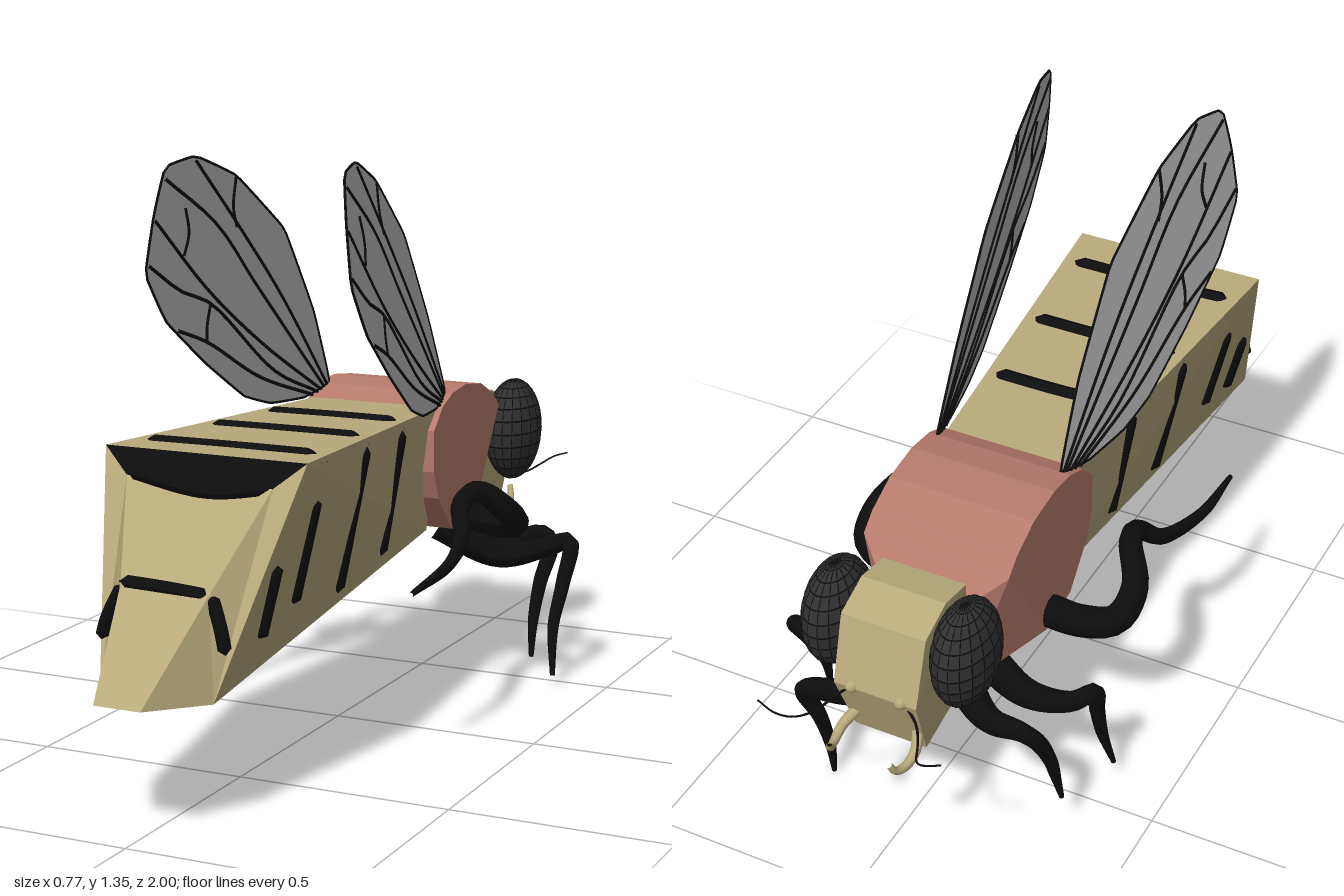
import * as THREE from 'three';
import { ConvexGeometry } from 'three/addons/geometries/ConvexGeometry.js';

const V = (x, y, z) => new THREE.Vector3(x, y, z);
const mat = (color, extra = {}) => new THREE.MeshStandardMaterial({ color, ...extra });
const lerp = THREE.MathUtils.lerp;
const CX = -0.015; // body axis

export function createModel() {
  const model = new THREE.Group();
  model.name = 'flyingInsect';
  const tan = mat(0xb8aa7c, { flatShading: true });
  const tanSmooth = mat(0xb8aa7c);
  const red = mat(0xb57a6c, { flatShading: true });
  const black = mat(0x0d0d0d);
  const eyeGrey = mat(0x303030, { flatShading: true });
  const wingGrey = mat(0xb8b8b8, { side: THREE.DoubleSide });

  const body = new THREE.Group();
  body.name = 'body';
  body.position.x = CX;
  model.add(body);

  const add = (parent, name, geo, material) => {
    const mesh = new THREE.Mesh(geo, material);
    mesh.name = name;
    parent.add(mesh);
    return mesh;
  };

  // Tube whose radius runs through the given list of radii
  const taperTube = (points, radii, seg = 32, sides = 10) => {
    const curve = new THREE.CatmullRomCurve3(points);
    const geo = new THREE.TubeGeometry(curve, seg, 1, sides);
    const pos = geo.attributes.position;
    const p = V(0, 0, 0);
    for (let i = 0; i <= seg; i++) {
      const t = (i / seg) * (radii.length - 1);
      const k = Math.min(Math.floor(t), radii.length - 2);
      const r = lerp(radii[k], radii[k + 1], t - k);
      const c = curve.getPointAt(i / seg);
      for (let j = 0; j <= sides; j++) {
        const n = i * (sides + 1) + j;
        p.fromBufferAttribute(pos, n).sub(c).multiplyScalar(r).add(c);
        pos.setXYZ(n, p.x, p.y, p.z);
      }
    }
    geo.computeVertexNormals();
    return geo;
  };

  // Convex solid mirrored in x
  const mirroredHull = (half) =>
    new ConvexGeometry(half.flatMap(([x, y, z]) => [V(x, y, z), V(-x, y, z)]));

  // Faces spanning from +x to -x along a chain of points, plus mirrored side triangles
  const mirroredSkin = (chain, sideTris) => {
    const flip = ([x, y, z]) => [-x, y, z];
    const out = [];
    for (let i = 0; i < chain.length - 1; i++) {
      const [p, q] = [chain[i], chain[i + 1]];
      out.push(p, flip(p), flip(q), p, flip(q), q);
    }
    for (const [a, b, c] of sideTris) out.push(a, b, c, flip(a), flip(c), flip(b));
    const geo = new THREE.BufferGeometry();
    geo.setAttribute('position', new THREE.Float32BufferAttribute(out.flat(), 3));
    geo.computeVertexNormals();
    return geo;
  };

  // Abdomen: widening box, its slanted end slightly dished between two chamfers
  const rootTop = [0.16, 0.728, -0.28], rootLow = [0.12, 0.415, -0.28];
  const rim = [0.242, 0.755, 0.62], lip = [0.175, 0.7, 0.648], dish = [0.105, 0.5, 0.8];
  const tip = [0.055, 0.3, 1.0], heel = [0.135, 0.283, 0.84];
  add(body, 'abdomen', mirroredSkin([lip, dish, tip, heel, rootLow, rootTop, rim], [
    [rootLow, rootTop, rim], [rootLow, rim, heel],
    [heel, rim, lip], [heel, lip, dish], [heel, dish, tip],
  ]), tan);
  add(body, 'endBand', mirroredSkin([rim, lip], []), black);

  // Thorax: rounded back, flat sides and a chamfered neck
  add(body, 'thorax', mirroredHull([
    ...[[-0.19, 0.58], [-0.19, 0.68], [-0.24, 0.73], [-0.3, 0.755], [-0.38, 0.765], [-0.48, 0.752],
      [-0.56, 0.715], [-0.6, 0.68], [-0.42, 0.4], [-0.3, 0.42], [-0.22, 0.51]].map(([z, y]) => [0.178, y, z]),
    [0.105, 0.62, -0.66], [0.095, 0.385, -0.65],
  ]), red);

  // Head: bowed crown and a face sloping back to the chin
  add(body, 'head', mirroredHull([
    [0.102, 0.675, -0.65], [0.102, 0.69, -0.74], [0.102, 0.655, -0.83], [0.1, 0.5, -0.878],
    [0.088, 0.34, -0.82], [0.088, 0.38, -0.66],
  ]), tan);

  // Stripes around the abdomen
  const hw = (z, f) => lerp(lerp(0.122, 0.135, (z + 0.28) / 1.12), lerp(0.16, 0.242, (z + 0.28) / 0.9), f);
  const topY = (z) => lerp(0.728, 0.755, (z + 0.28) / 0.9);
  const botY = (z) => lerp(0.415, 0.283, (z + 0.28) / 1.12);
  const stripe = (name, pts, r = 0.026) =>
    add(body, name, taperTube(pts, [0, r, r, r, r, r, r, r, r, r, 0], 20, 8), black);
  for (const z of [0, 0.24, 0.5]) {
    const w = hw(z, 1), y = topY(z) - 0.015;
    stripe('topStripe', [V(-w, y, z + 0.01), V(0, y, z), V(w, y, z)]);
  }
  for (const [z, y0, y1] of [[0.01, 0.4, 0.735], [0.25, 0.365, 0.745], [0.51, 0.41, 0.67], [0.66, 0.375, 0.55]]) {
    for (const s of [-1, 1]) {
      const at = (y) => V(s * (hw(z, (y - botY(z)) / (topY(z) - botY(z))) - 0.012), y, z);
      stripe('sideStripe', [at(y0), at((y0 + y1) / 2), at(y1)]);
    }
  }
  for (const z of [0, 0.25, 0.5, 0.66, 0.83]) {
    const y = botY(z) + 0.014;
    stripe('bellyStripe', [V(-0.1, y, z), V(0, y, z), V(0.1, y, z)], 0.022);
  }
  // Stripes on the slanted end
  stripe('upperEndStripe', [V(-0.19, 0.71, 0.635), V(0.03, 0.682, 0.655), V(0.18, 0.7, 0.64)], 0.02);
  stripe('lowerEndStripe', [V(-0.115, 0.505, 0.79), V(0, 0.502, 0.792), V(0.11, 0.495, 0.792)], 0.016);
  for (const s of [-1, 1]) {
    stripe('endSideStripe', [V(s * 0.105, 0.5, 0.79), V(s * 0.135, 0.43, 0.805), V(s * 0.148, 0.38, 0.81)], 0.015);
  }

  // Wing outline and veins as (z, y)
  const outline = [[-0.305, 0.76], [-0.21, 0.947], [-0.06, 1.16], [0.14, 1.3], [0.29, 1.353], [0.39, 1.335],
    [0.415, 1.23], [0.425, 1.1], [0.34, 0.984], [0.187, 0.87], [0.03, 0.77], [-0.075, 0.738], [-0.21, 0.733]];
  const veins = [
    [[-0.3, 0.75], [-0.075, 1.0], [0.1, 1.17], [0.29, 1.345]],
    [[-0.29, 0.745], [0.03, 1.04], [0.19, 1.19], [0.39, 1.31]],
    [[-0.28, 0.74], [-0.02, 0.89], [0.2, 1.04], [0.412, 1.22]],
    [[-0.26, 0.74], [-0.08, 0.815], [0.19, 1.01], [0.3, 1.05], [0.42, 1.12]],
    [[-0.24, 0.735], [-0.02, 0.81], [0.19, 0.92], [0.3, 0.96]],
    [[0.19, 1.01], [0.195, 0.96], [0.19, 0.92]],
    [[0.12, 1.18], [0.14, 1.23], [0.14, 1.3]],
    [[0.3, 1.13], [0.29, 1.18], [0.31, 1.24]],
  ];
  const wingX = (z, y) => 0.155 + 0.183 * (z + 0.305) - 0.114 * (y - 0.76);

  for (const s of [-1, 1]) {
    const side = s > 0 ? 'left' : 'right';

    // Wing blade, leaning outward towards its trailing edge
    const wing = new THREE.Group();
    wing.name = side + 'Wing';
    body.add(wing);
    const blade = new THREE.ShapeGeometry(new THREE.Shape(outline.map(([z, y]) => new THREE.Vector2(z, y))));
    const pos = blade.attributes.position;
    for (let i = 0; i < pos.count; i++) {
      const z = pos.getX(i), y = pos.getY(i);
      pos.setXYZ(i, s * wingX(z, y), y, z);
    }
    blade.computeVertexNormals();
    add(wing, 'wingBlade', blade, wingGrey);
    const onWing = ([z, y]) => V(s * wingX(z, y), y, z);
    const edge = new THREE.CatmullRomCurve3(outline.map(onWing), true, 'catmullrom', 0.1);
    add(wing, 'wingRim', new THREE.TubeGeometry(edge, 78, 0.003, 5, true), black);
    for (const v of veins) {
      add(wing, 'wingVein', new THREE.TubeGeometry(new THREE.CatmullRomCurve3(v.map(onWing)), 16, 0.0045, 5), black);
    }

    // Compound eye: faceted ellipsoid with a raised grid
    const eye = new THREE.Group();
    eye.name = side + 'Eye';
    eye.position.set(s * 0.157, 0.59, -0.755);
    eye.scale.set(0.067, 0.13, 0.109);
    body.add(eye);
    add(eye, 'eyeBall', new THREE.SphereGeometry(1, 18, 12), eyeGrey);
    for (let i = 0; i < 9; i++) {
      add(eye, 'eyeMeridian', new THREE.TorusGeometry(0.99, 0.018, 4, 36), black).rotation.y = (i * Math.PI) / 9;
    }
    for (let i = 1; i < 12; i++) {
      const a = (i * Math.PI) / 12;
      const ring = add(eye, 'eyeParallel', new THREE.TorusGeometry(0.99 * Math.sin(a), 0.018, 4, 36), black);
      ring.rotation.x = Math.PI / 2;
      ring.position.y = 0.99 * Math.cos(a);
    }

    // Feeler with a round base, and the curved mouthpart below it
    add(body, 'feelerBase', new THREE.SphereGeometry(0.015, 12, 8), tanSmooth).position.set(s * 0.06, 0.5, -0.872);
    add(body, 'feeler', taperTube([V(s * 0.06, 0.5, -0.865), V(s * 0.1, 0.46, -0.88), V(s * 0.125, 0.442, -0.92),
      V(s * 0.15, 0.455, -0.97), V(s * 0.18, 0.475, -0.994), V(s * 0.222, 0.49, -0.99)], [0.0035, 0.002], 24, 6), black);
    add(body, 'mouthpart', taperTube([V(s * 0.07, 0.4, -0.82), V(s * 0.09, 0.375, -0.87), V(s * 0.088, 0.362, -0.91),
      V(s * 0.08, 0.37, -0.94), V(s * 0.073, 0.395, -0.953)], [0.014, 0.012, 0.007], 16, 8), tanSmooth);

    // Hind leg, trailing along the abdomen
    add(body, side + 'HindLeg', taperTube([[0.13, 0.45, -0.405], [0.25, 0.43, -0.39], [0.32, 0.435, -0.355],
      [0.332, 0.48, -0.285], [0.285, 0.54, -0.21], [0.27, 0.52, -0.14], [0.3, 0.46, -0.07], [0.333, 0.43, 0.08],
      [0.327, 0.405, 0.28]].map(([x, y, z]) => V(s * x, y, z)), [0.04, 0.037, 0.03, 0.024, 0.017, 0.013, 0.006], 48), black);
  }

  // Middle and front legs, each in its own pose
  const legs = {
    leftMiddleLeg: [[0.04, 0.38, -0.51], [0.18, 0.3, -0.57], [0.3, 0.325, -0.6], [0.36, 0.345, -0.6],
      [0.365, 0.25, -0.54], [0.36, 0.15, -0.49], [0.375, 0.035, -0.45]],
    rightMiddleLeg: [[-0.06, 0.37, -0.51], [-0.2, 0.31, -0.54], [-0.31, 0.32, -0.53], [-0.345, 0.33, -0.49],
      [-0.34, 0.25, -0.46], [-0.34, 0.15, -0.43], [-0.36, 0.055, -0.41]],
    leftFrontLeg: [[0.03, 0.38, -0.6], [0.14, 0.3, -0.69], [0.23, 0.32, -0.75], [0.255, 0.3, -0.745],
      [0.24, 0.2, -0.71], [0.23, 0.1, -0.69], [0.23, 0.008, -0.68]],
    rightFrontLeg: [[-0.06, 0.39, -0.61], [-0.19, 0.36, -0.7], [-0.27, 0.36, -0.705], [-0.3, 0.32, -0.68],
      [-0.315, 0.25, -0.65], [-0.32, 0.18, -0.63], [-0.33, 0.115, -0.62]],
  };
  for (const [name, path] of Object.entries(legs)) {
    add(model, name, taperTube(path.map((p) => V(...p)), [0.043, 0.038, 0.03, 0.021, 0.018, 0.014, 0.006], 40), black);
  }
  return model;
}
